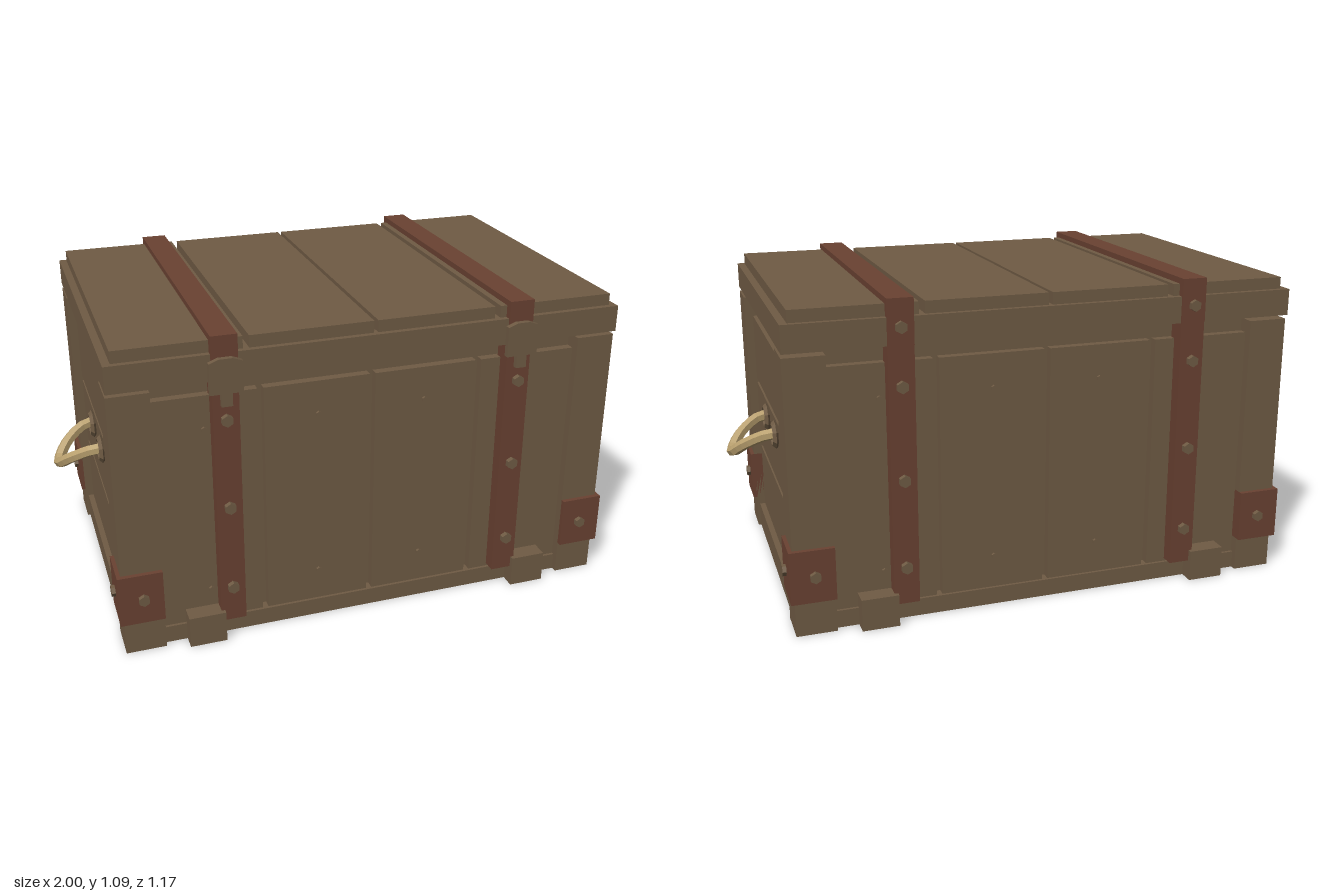
import * as THREE from 'three';

export function createModel() {
  const crate = new THREE.Group();
  crate.name = 'crate';
  const mat = (name, color) => {
    const m = new THREE.MeshStandardMaterial({ color });
    m.name = name;
    return m;
  };
  const wood = mat('wood', 0x6f5b44);
  const iron = mat('rustyIron', 0x6a4232);
  const rope = mat('rope', 0xb89f6e);

  const add = (name, geo, material) => {
    const m = new THREE.Mesh(geo, material);
    m.name = name;
    crate.add(m);
    return m;
  };
  // Box given by its min and max on each axis
  const box = (name, material, x0, x1, y0, y1, z0, z1) => {
    const g = new THREE.BoxGeometry(Math.abs(x1 - x0), y1 - y0, Math.abs(z1 - z0));
    add(name, g, material).position.set((x0 + x1) / 2, (y0 + y1) / 2, (z0 + z1) / 2);
  };
  // Low-poly stud whose axis lies along x or z
  const stud = (name, axis, r, depth, x, y, z, sides = 6) => {
    const g = new THREE.CylinderGeometry(r, r, depth, sides).toNonIndexed();
    g.computeVertexNormals();
    if (axis === 'x') g.rotateZ(Math.PI / 2);
    else g.rotateX(Math.PI / 2);
    add(name, g, wood).position.set(x, y, z);
  };
  const SIDES = [-1, 1];

  // Inner body
  box('body', wood, -0.81, 0.81, 0, 0.94, -0.49, 0.49);

  // Corner posts with iron brackets and bolts
  for (const sx of SIDES) for (const sz of SIDES) {
    box('cornerPost', wood, sx * 0.73, sx * 0.865, 0, 0.925, sz * 0.415, sz * 0.55);
    box('cornerBracket', iron, sx * 0.73, sx * 0.878, 0.12, 0.3, sz * 0.415, sz * 0.566);
    stud('bracketBolt', 'z', 0.019, 0.03, sx * 0.797, 0.21, sz * 0.567);
    stud('bracketBolt', 'x', 0.019, 0.03, sx * 0.876, 0.21, sz * 0.485);
    box('foot', wood, sx * 0.53, sx * 0.655, 0, 0.11, sz * 0.46, sz * 0.582);
  }

  // Front and back: bottom rail, upright planks and nails
  for (const sz of SIDES) {
    box('longRail', wood, -0.73, 0.73, 0, 0.06, sz * 0.48, sz * 0.53);
    for (const sx of SIDES) {
      box('uprightPlank', wood, sx * 0.01, sx * 0.367, 0.06, 0.88, sz * 0.48, sz * 0.52);
      box('uprightPlank', wood, sx * 0.387, sx * 0.73, 0.06, 0.88, sz * 0.48, sz * 0.52);
      for (const x of [0.185, 0.563]) for (const y of [0.175, 0.765])
        stud('nail', 'z', 0.01, 0.014, sx * x, y, sz * 0.522);
    }
  }

  // Ends: bottom rail and level planks
  for (const sx of SIDES) {
    box('endRail', wood, sx * 0.8, sx * 0.855, 0, 0.09, -0.415, 0.415);
    for (const y of [0.09, 0.35, 0.61])
      box('endPlank', wood, sx * 0.8, sx * 0.835, y, y + 0.242, -0.415, 0.415);
  }

  // Lid slab and its four boards
  box('lid', wood, -0.865, 0.865, 0.94, 1.03, -0.562, 0.562);
  for (const sx of SIDES) {
    box('lidBoard', wood, sx * 0.007, sx * 0.415, 1.03, 1.07, -0.543, 0.543);
    box('lidBoard', wood, sx * 0.435, sx * 0.84, 1.03, 1.07, -0.543, 0.543);
  }

  // Iron straps over the lid and down both faces, with bolts
  for (const sx of SIDES) {
    const a = sx * 0.457, b = sx * 0.542;
    box('lidStrap', iron, a, b, 1.025, 1.09, -0.569, 0.569);
    for (const sz of SIDES) {
      box('faceStrap', iron, a, b, 0.07, 0.94, sz * 0.5, sz * 0.566);
      box('lidStrapEnd', iron, a, b, 0.94, 1.03, sz * 0.55, sz * 0.569);
      for (const y of [0.2, 0.5, 0.81, 1.0])
        stud('strapBolt', 'z', 0.02, 0.034, sx * 0.5, y, sz * 0.567);
    }
  }

  // Front latches: stepped plate with a narrow hasp
  const half = [[0.018, 0.862], [0.018, 0.905], [0.054, 0.905], [0.054, 1.008], [0.022, 1.02]];
  const outline = [...half, ...half.map(([x, y]) => [-x, y]).reverse()];
  const latchShape = new THREE.Shape(outline.map(([x, y]) => new THREE.Vector2(x, y)));
  for (const sx of SIDES) {
    const g = new THREE.ExtrudeGeometry(latchShape, { depth: 0.018, bevelEnabled: false });
    add('latch', g, wood).position.set(sx * 0.5, 0, 0.569);
  }

  // Drooping rope handles in eight-sided eyelets
  for (const sx of SIDES) {
    const path = new THREE.CatmullRomCurve3([
      [0.825, 0.55, 0.115], [0.875, 0.545, 0.108], [0.945, 0.505, 0.063], [0.98, 0.465, 0],
      [0.945, 0.505, -0.063], [0.875, 0.545, -0.108], [0.825, 0.55, -0.115],
    ].map(([x, y, z]) => new THREE.Vector3(sx * x, y, z)));
    const g = new THREE.TubeGeometry(path, 16, 0.02, 6).toNonIndexed();
    g.computeVertexNormals();
    add('handle', g, rope);
    for (const sz of SIDES) {
      const ring = new THREE.TorusGeometry(0.038, 0.012, 4, 8).toNonIndexed();
      ring.computeVertexNormals();
      ring.rotateZ(Math.PI / 8).rotateY(Math.PI / 2);
      add('eyelet', ring, wood).position.set(sx * 0.842, 0.545, sz * 0.108);
    }
  }
  return crate;
}
